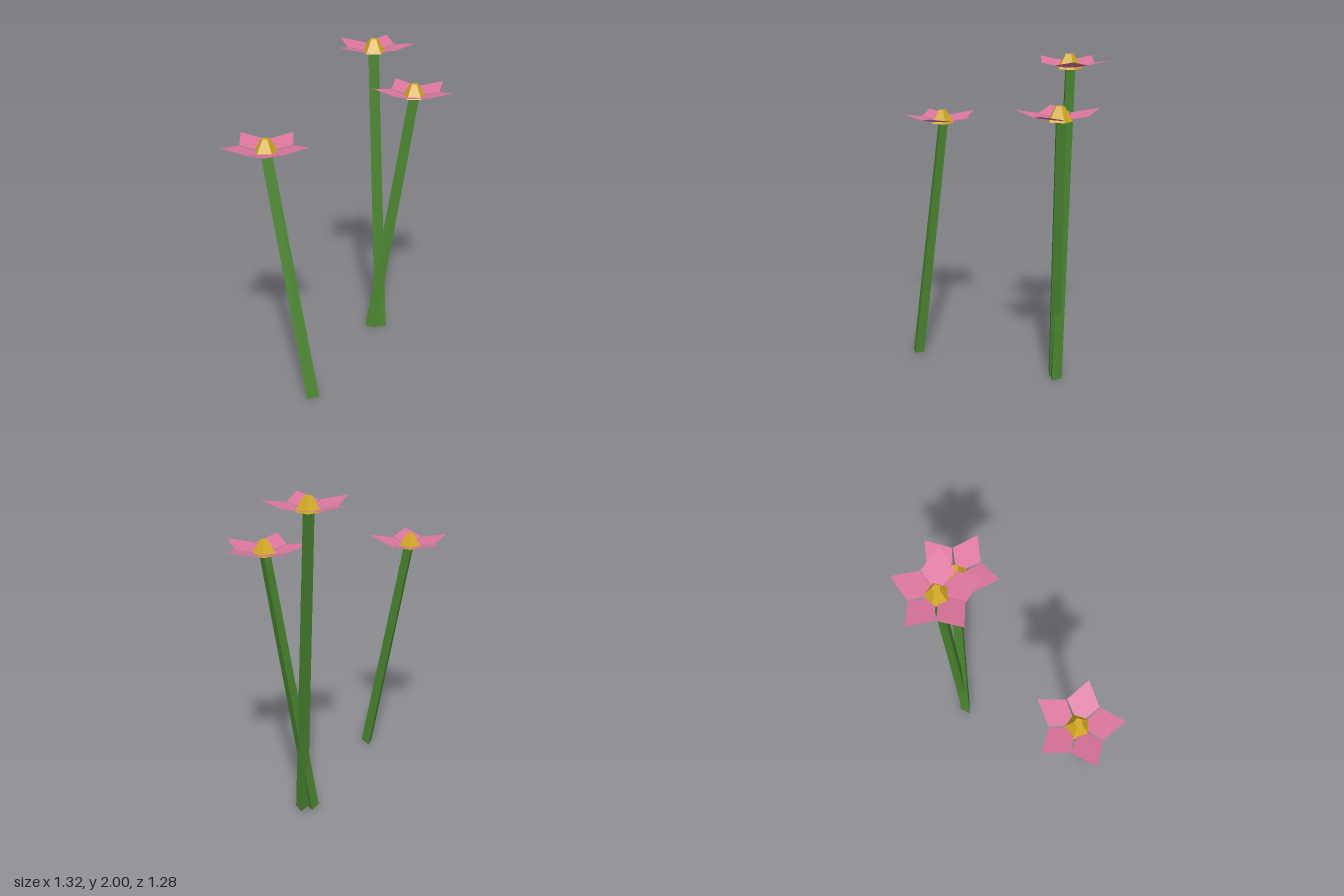
import * as THREE from 'three';

const mat = (name, color, side = THREE.FrontSide) => {
  const m = new THREE.MeshStandardMaterial({ color, side, flatShading: true });
  m.name = name;
  return m;
};

// One flat kite-shaped petal pointing along +x and rising outwards
function petalGeometry() {
  const slope = 0.23, half = THREE.MathUtils.degToRad(35), r = 0.162;
  const x = r * Math.cos(half), z = r * Math.sin(half);
  const g = new THREE.BufferGeometry();
  g.setAttribute('position', new THREE.Float32BufferAttribute([
    0.015, 0.015 * slope, 0,
    x, x * slope, z,
    0.261, 0.261 * slope, 0,
    x, x * slope, -z,
  ], 3));
  g.setIndex([0, 1, 2, 0, 2, 3]);
  g.computeVertexNormals();
  return g;
}

export function createModel() {
  const green = mat('stem green', 0x4a8530);
  const pink = mat('petal pink', 0xdb749c, THREE.DoubleSide);
  const yellow = mat('centre yellow', 0xd2a822);

  const petalGeo = petalGeometry();
  const centreHeight = 0.085;
  const centreGeo = new THREE.CylinderGeometry(0.026, 0.077, centreHeight, 5, 1, false, Math.PI);

  // base and top of each stem, petal turn and stem twist in degrees
  const flowers = [
    { name: 'frontFlower', base: [-0.165, 0.01, 0.55], top: [-0.42, 1.508, 0.375], turn: 14, twist: 15 },
    { name: 'tallFlower', base: [0.248, 0.005, -0.335], top: [0.175, 1.915, -0.392], turn: 0, twist: 0 },
    { name: 'leaningFlower', base: [0.18, 0.008, -0.325], top: [0.431, 1.65, -0.322], turn: 29, twist: 0 },
  ];

  const model = new THREE.Group();
  model.name = 'flowers';
  for (const f of flowers) {
    const flower = new THREE.Group();
    flower.name = f.name;
    const base = new THREE.Vector3(...f.base);
    const top = new THREE.Vector3(...f.top);
    const axis = top.clone().sub(base);

    // Three-sided leaning stem
    const stemGeo = new THREE.CylinderGeometry(0.037, 0.043, axis.length(), 3, 1, false, Math.PI);
    stemGeo.rotateY(THREE.MathUtils.degToRad(f.twist));
    const stem = new THREE.Mesh(stemGeo, green);
    stem.name = 'stem';
    stem.position.copy(base).add(top).multiplyScalar(0.5);
    stem.quaternion.setFromUnitVectors(new THREE.Vector3(0, 1, 0), axis.normalize());
    flower.add(stem);

    // Upright head: five petals round a tapered centre
    const head = new THREE.Group();
    head.name = 'head';
    head.position.copy(top);
    for (let i = 0; i < 5; i++) {
      const petal = new THREE.Mesh(petalGeo, pink);
      petal.name = 'petal';
      petal.rotation.y = -THREE.MathUtils.degToRad(f.turn + i * 72);
      head.add(petal);
    }
    const centre = new THREE.Mesh(centreGeo, yellow);
    centre.name = 'centre';
    centre.position.y = centreHeight / 2;
    head.add(centre);

    flower.add(head);
    model.add(flower);
  }
  return model;
}
